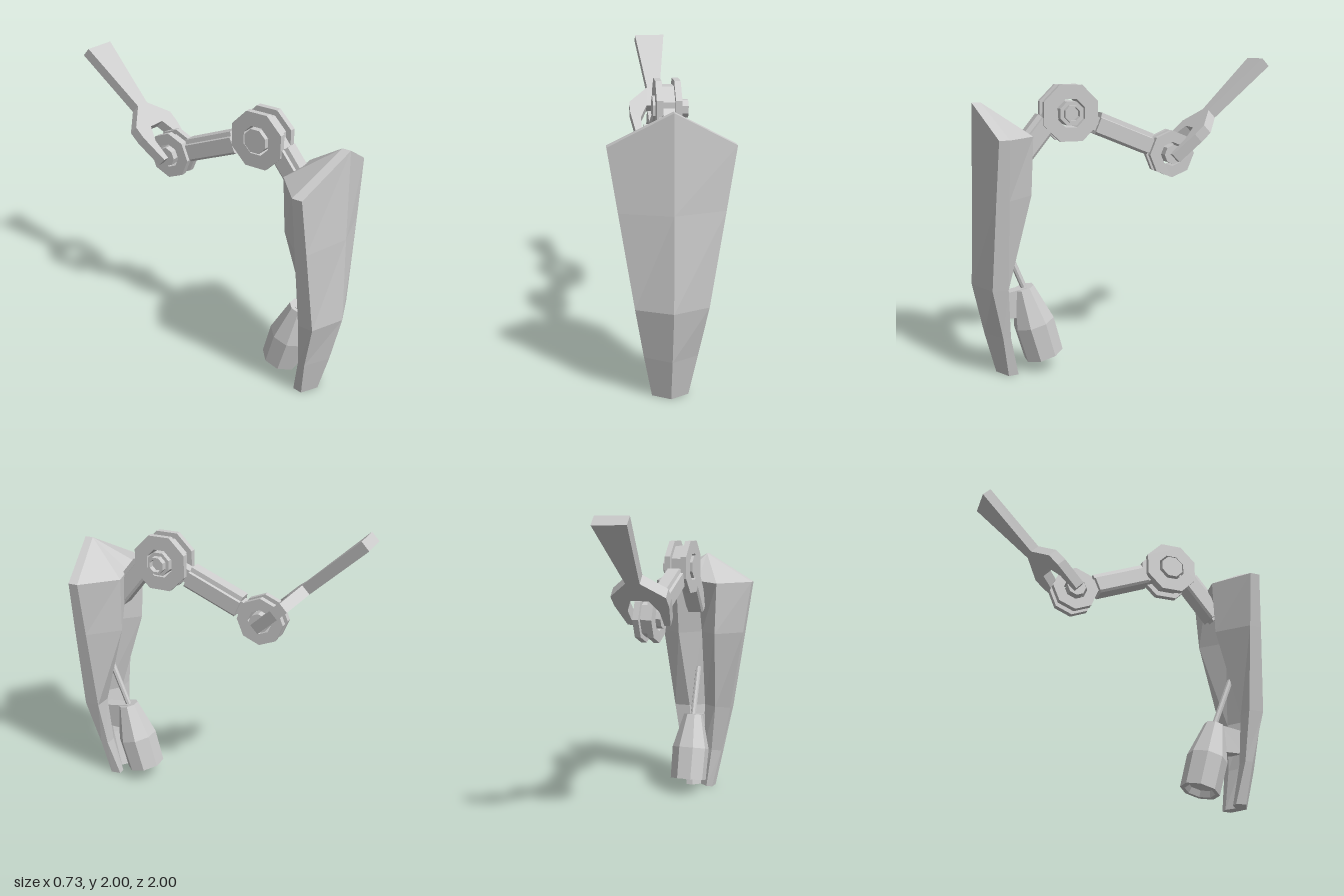
import * as THREE from 'three';

const material = new THREE.MeshStandardMaterial({ color: 0xcccccc, flatShading: true });

function add(parent, name, geometry) {
  const mesh = new THREE.Mesh(geometry, material);
  mesh.name = name;
  parent.add(mesh);
  return mesh;
}

const polygon = (points) => new THREE.Shape(points.map(([x, y]) => new THREE.Vector2(x, y)));

function octagon(radius, turn) {
  return Array.from({ length: 8 }, (_, i) => {
    const a = turn + (i * Math.PI) / 4;
    return [Math.cos(a) * radius, Math.sin(a) * radius];
  });
}

// Octagonal disc or ring spanning x0..x1
function disc(radius, hole, turn, x0, x1) {
  const shape = polygon(octagon(radius, turn));
  if (hole) shape.holes.push(polygon(octagon(hole, turn)));
  return new THREE.ExtrudeGeometry(shape, { depth: x1 - x0, bevelEnabled: false })
    .rotateY(Math.PI / 2).translate(x0, 0, 0);
}

// Armoured shell with a front ridge and a groove between two rear wings
function buildShield(parent) {
  // per level: front ridge, side front, side back, wing tip, groove
  const levels = [
    [[0, 0, 0.86], [0.11, 0, 0.80], [0.10, 0, 0.735], [0.055, 0, 0.735], [0, 0, 0.78]],
    [[0, 0.27, 0.93], [0.16, 0.27, 0.84], [0.155, 0.27, 0.79], [0.08, 0.27, 0.785], [0, 0.27, 0.83]],
    [[0, 0.6, 1.0], [0.215, 0.6, 0.91], [0.215, 0.6, 0.81], [0.1, 0.6, 0.805], [0, 0.6, 0.88]],
    [[0, 1.17, 0.98], [0.305, 1.17, 0.89], [0.305, 1.17, 0.81], [0.135, 1.17, 0.635], [0, 1.17, 0.78]],
    [[0, 1.74, 0.965], [0.363, 1.54, 0.875], [0.363, 1.54, 0.81], [0.15, 1.535, 0.62], [0, 1.55, 0.65]],
  ];
  const rings = levels.map((half) => [
    ...half,
    ...half.slice(1, 4).reverse().map(([x, y, z]) => [-x, y, z]),
  ]);
  const pos = [];
  const tri = (...corners) => corners.forEach((c) => pos.push(...c));
  const top = rings[4];
  for (let i = 0; i < 8; i++) {
    const j = (i + 1) % 8;
    for (let k = 0; k < 4; k++) {
      const lo = rings[k], hi = rings[k + 1];
      tri(lo[i], lo[j], hi[j]);
      tri(lo[i], hi[j], hi[i]);
    }
    tri([0, 1.74, 0.91], top[i], top[j]);
    tri([0, 0, 0.82], rings[0][j], rings[0][i]);
  }
  const g = new THREE.BufferGeometry();
  g.setAttribute('position', new THREE.Float32BufferAttribute(pos, 3));
  g.computeVertexNormals();
  add(parent, 'shield', g);
}

// Pivot: two outer discs, an inner ring and a loose hub pin
function buildJoint(parent, name, y, z, o) {
  const joint = new THREE.Group();
  joint.name = name;
  joint.position.set(0, y, z);
  parent.add(joint);
  for (const s of [-1, 1]) {
    const x = s * o.offset;
    add(joint, 'outerDisc', disc(o.radius, o.hole, o.turn, x - 0.019, x + 0.019));
  }
  const w = o.offset - 0.019;
  add(joint, 'innerRing', disc(o.radius * 0.8, o.hole, o.turn, -w, w));
  add(joint, 'hub', disc(o.hub, 0, o.turn, -0.088, 0.088));
  if (o.bolt) add(joint, 'bolt', disc(o.bolt, o.bolt * 0.75, o.turn, 0.088, 0.127));
  return joint;
}

// Straight link from a to b: narrow core with a wider stepped sleeve
function buildLink(parent, name, a, b, start, end, sleeveStart, sleeveEnd) {
  const link = new THREE.Group();
  link.name = name;
  link.position.set(...a);
  link.lookAt(...b);
  parent.add(link);
  add(link, 'core', new THREE.BoxGeometry(0.07, 0.09, end - start).translate(0, 0, (start + end) / 2));
  const section = polygon([
    [-0.05, -0.065], [0.05, -0.065], [0.062, -0.05], [0.062, 0.045], [0.045, 0.05],
    [0.04, 0.078], [-0.04, 0.078], [-0.045, 0.05], [-0.062, 0.045], [-0.062, -0.05],
  ]);
  add(link, 'sleeve', new THREE.ExtrudeGeometry(section, {
    depth: sleeveEnd - sleeveStart, bevelEnabled: false,
  }).translate(0, 0, sleeveStart));
}

// Open-jawed claw, drawn flat then tilted back
function buildClaw(parent) {
  const right = [
    [0.105, 0.891], [0.045, 0.4], [0.175, 0.275], [0.175, 0.19], [0.14, 0],
    [0.1, 0], [0.102, 0.14], [0.058, 0.24],
  ];
  const outline = [...right, ...right.map(([x, y]) => [-x, y]).reverse()];
  const g = new THREE.ExtrudeGeometry(polygon(outline), { depth: 0.07, bevelEnabled: false });
  g.translate(0, 0, -0.035).rotateX(-Math.atan2(0.65, 0.61));
  add(parent, 'claw', g).position.set(0, 1.36, -0.325);
}

// Canister with a hollow nozzle, a piston rod and a bracket to the shield
function buildThruster(parent) {
  const thruster = new THREE.Group();
  thruster.name = 'thruster';
  thruster.position.set(0.033, 0, 0);
  parent.add(thruster);
  const profile = [
    [0, 0.06], [0.085, 0.04], [0.1, 0], [0.13, 0], [0.134, 0.23], [0.07, 0.475], [0, 0.475],
  ].map(([r, y]) => new THREE.Vector2(r, y));
  const body = add(thruster, 'canister', new THREE.LatheGeometry(profile, 8, Math.PI / 8));
  body.position.set(0, 0.1, 0.55);
  body.rotation.x = 0.27;
  const from = new THREE.Vector3(0, 0.5, 0.65);
  const to = new THREE.Vector3(0, 0.9, 0.81);
  add(thruster, 'pistonRod', new THREE.TubeGeometry(new THREE.LineCurve3(from, to), 1, 0.02, 8));
  const side = polygon([[-0.85, 0.53], [-0.85, 0.37], [-0.66, 0.37], [-0.66, 0.565], [-0.7, 0.555]]);
  add(thruster, 'bracket', new THREE.ExtrudeGeometry(side, { depth: 0.08, bevelEnabled: false })
    .rotateY(Math.PI / 2).translate(-0.04, 0, 0));
}

export function createModel() {
  const model = new THREE.Group();
  model.name = 'armouredLimb';
  buildShield(model);
  buildThruster(model);

  // Jointed arm sits slightly off the centre line
  const arm = new THREE.Group();
  arm.name = 'arm';
  arm.position.x = 0.018;
  model.add(arm);
  buildJoint(arm, 'elbow', 1.665, 0.36, {
    radius: 0.19, hole: 0.095, hub: 0.08, bolt: 0.057, offset: 0.056, turn: Math.PI / 8,
  });
  buildJoint(arm, 'wrist', 1.38, -0.33, {
    radius: 0.155, hole: 0.08, hub: 0.064, bolt: 0, offset: 0.042, turn: 0,
  });
  buildLink(arm, 'forearm', [0, 1.665, 0.36], [0, 1.38, -0.33], 0.1, 0.65, 0.2, 0.58);
  buildLink(arm, 'upperArm', [0, 1.66, 0.465], [0, 1.37, 0.70], 0, 0.4, 0.06, 0.38);
  buildClaw(arm);
  return model;
}
